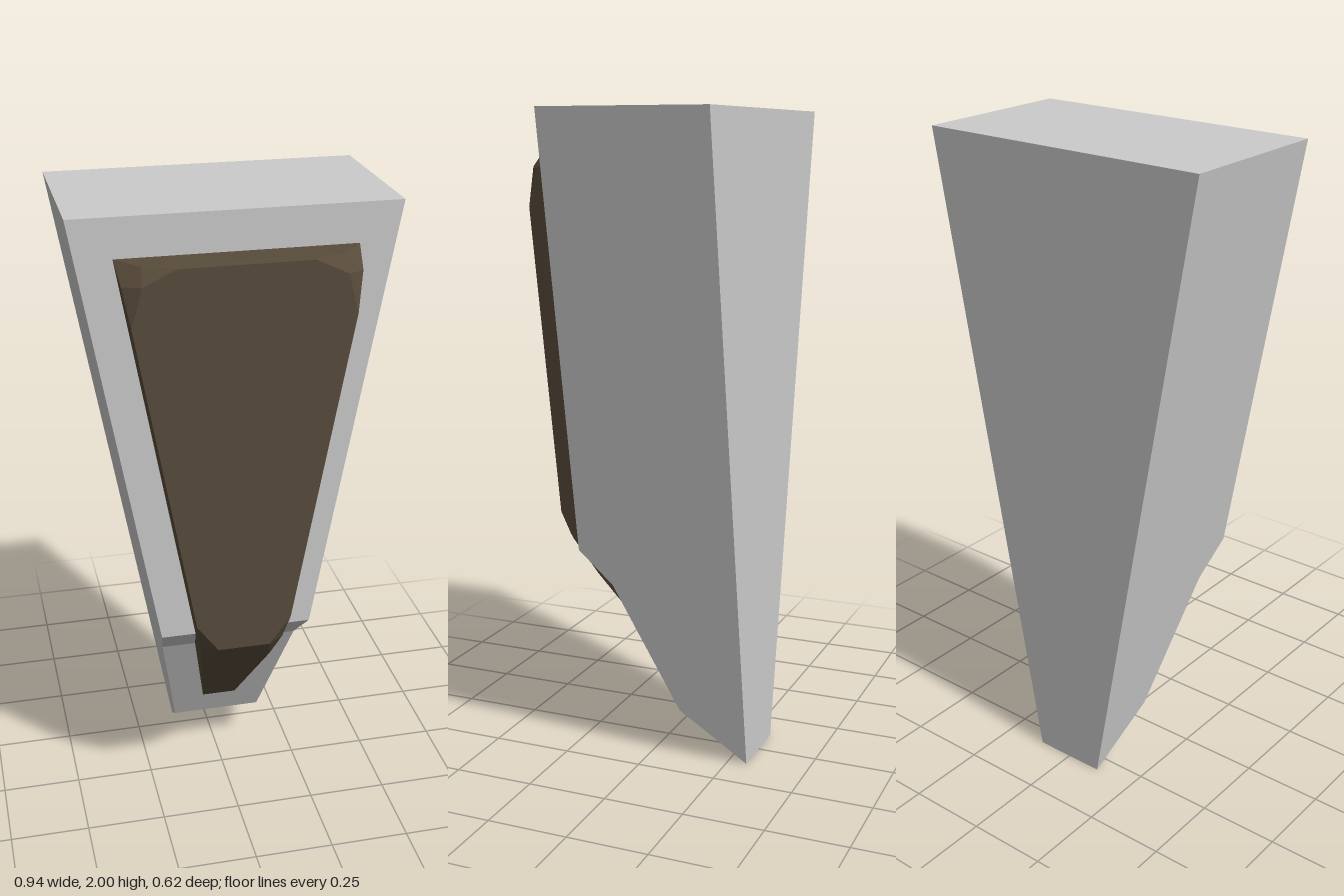
import * as THREE from 'three';
import { ConvexGeometry } from 'three/addons/geometries/ConvexGeometry.js';

// half width of each tapered part at height y
const bodyHalf = (y) => 0.117 + 0.1765 * y;
const panelHalf = (y) => 0.055 + 0.29 * (y - 0.25) / 1.635;

// convex solid from one half of its corners, mirrored across x
function mirroredHull(points, material, name) {
  const all = [];
  for (const [x, y, z] of points) {
    for (const s of [1, -1]) all.push(new THREE.Vector3(s * x, y, z));
  }
  const mesh = new THREE.Mesh(new ConvexGeometry(all), material);
  mesh.name = name;
  return mesh;
}

export function createModel() {
  const group = new THREE.Group();
  group.name = 'taperedBlock';
  const grey = new THREE.MeshStandardMaterial({ color: 0xcccccc, flatShading: true });
  const brown = new THREE.MeshStandardMaterial({ color: 0x584b3b, flatShading: true });

  // body: side profile (z, y) extruded across x, then tapered by height
  const profile = [[-0.31, 0], [-0.095, 0.155], [0.1, 0.565], [0.205, 0.67], [0.205, 2], [-0.31, 2]];
  const shape = new THREE.Shape(profile.map(([z, y]) => new THREE.Vector2(z, y)));
  const bodyGeo = new THREE.ExtrudeGeometry(shape, { depth: 2, bevelEnabled: false });
  bodyGeo.translate(0, 0, -1).rotateY(-Math.PI / 2);
  const pos = bodyGeo.attributes.position;
  for (let i = 0; i < pos.count; i++) {
    pos.setX(i, Math.sign(pos.getX(i)) * bodyHalf(pos.getY(i)));
  }
  bodyGeo.computeVertexNormals();
  const body = new THREE.Mesh(bodyGeo, grey);
  body.name = 'body';
  group.add(body);

  // raised front panel with rounded upper corners and clipped lower corners
  const edge = (y, z) => [panelHalf(y), y, z];
  group.add(mirroredHull([
    edge(1.885, 0.1), edge(1.885, 0.205),
    [0.28, 1.883, 0.275], [0.19, 1.88, 0.31],
    [0.285, 1.835, 0.31],
    edge(1.83, 0.275), edge(1.72, 0.31),
    edge(0.76, 0.31), [0.08, 0.67, 0.31], edge(0.67, 0.275),
    edge(0.56, 0.2), edge(0.56, 0.1),
  ], brown, 'frontPanel'));

  // sloping lower end of the panel
  group.add(mirroredHull([
    edge(0.56, 0.2), edge(0.56, 0.05),
    edge(0.25, -0.05), edge(0.25, -0.1),
  ], brown, 'lowerPanel'));

  return group;
}
